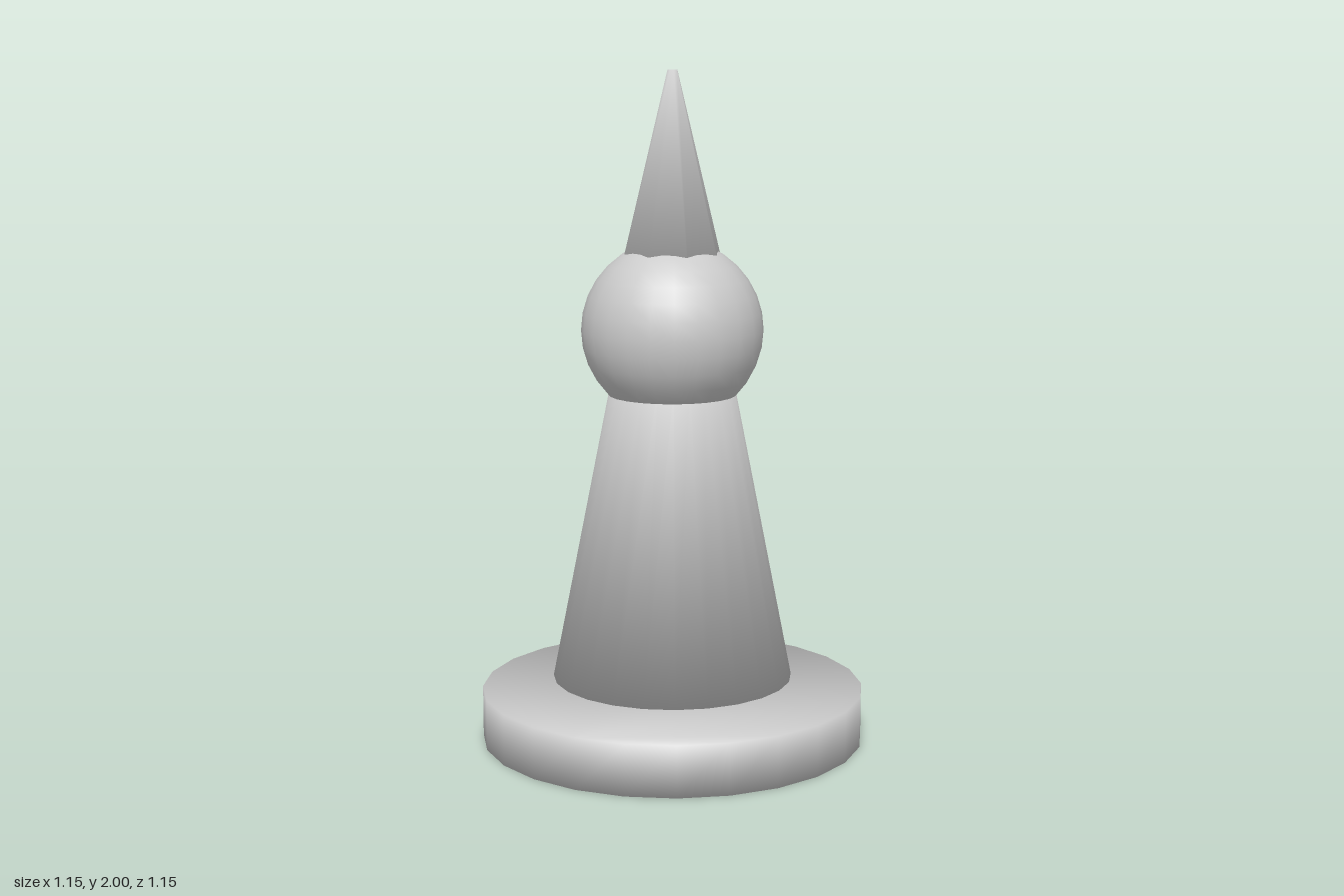
import * as THREE from 'three';

const material = new THREE.MeshStandardMaterial({ color: 0xcccccc });

// Closed frustum whose rims are smooth-shaded across the caps (shared rim vertices)
function frustum(rBottom, rTop, y0, y1, sides) {
  const positions = [], normals = [], index = [];
  const side = new THREE.Vector2(y1 - y0, rBottom - rTop).normalize();
  for (const [r, y, capY] of [[rBottom, y0, -1], [rTop, y1, 1]]) {
    const rim = new THREE.Vector2(side.x, side.y + capY).normalize();
    for (let i = 0; i < sides; i++) {
      const a = (i / sides) * Math.PI * 2;
      positions.push(r * Math.sin(a), y, r * Math.cos(a));
      normals.push(rim.x * Math.sin(a), rim.y, rim.x * Math.cos(a));
    }
  }
  // Side wall
  for (let i = 0; i < sides; i++) {
    const j = (i + 1) % sides;
    index.push(i, j, sides + j, i, sides + j, sides + i);
  }
  // Bottom and top caps
  for (let i = 1; i < sides - 1; i++) {
    index.push(0, i + 1, i, sides, sides + i, sides + i + 1);
  }
  const geometry = new THREE.BufferGeometry();
  geometry.setAttribute('position', new THREE.Float32BufferAttribute(positions, 3));
  geometry.setAttribute('normal', new THREE.Float32BufferAttribute(normals, 3));
  geometry.setIndex(index);
  return geometry;
}

export function createModel() {
  const model = new THREE.Group();
  model.name = 'gamePiece';

  const add = (name, geometry) => {
    const mesh = new THREE.Mesh(geometry, material);
    mesh.name = name;
    model.add(mesh);
  };

  // Round foot, with a small gap below the body
  add('base', frustum(0.575, 0.575, 0, 0.153, 24));

  // Tapered body, its top sunk into the head
  add('body', frustum(0.36, 0.18, 0.187, 1.1, 24));

  // Ball head
  add('head', new THREE.SphereGeometry(0.27, 24, 16).translate(0, 1.24, 0));

  // Eight-sided pointed hat, its foot sunk into the head
  add('spike', frustum(0.185, 0.015, 1.31, 2, 8));

  return model;
}
